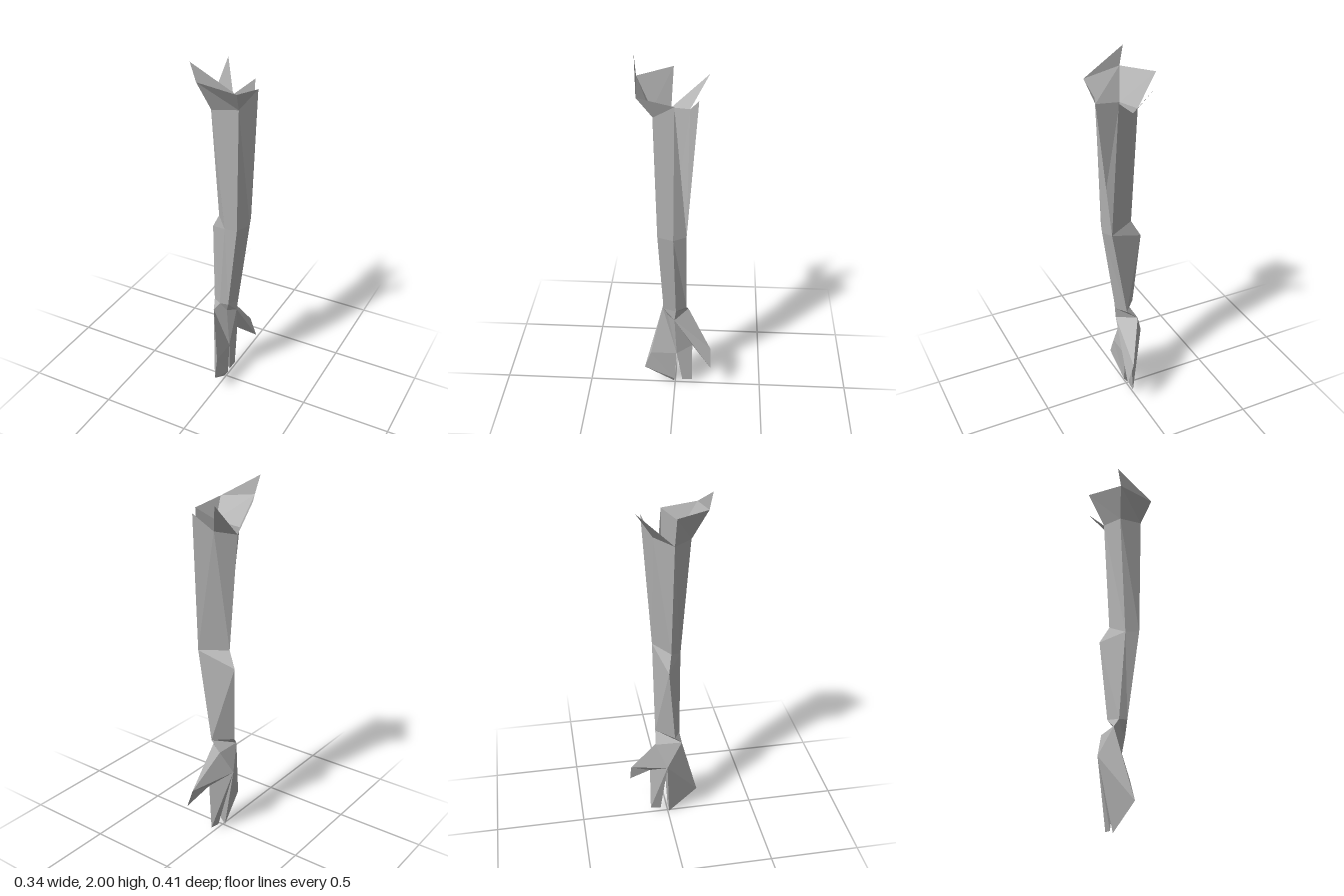
import * as THREE from 'three';

const skin = new THREE.MeshStandardMaterial({ color: 0xb2b2b2, side: THREE.DoubleSide, flatShading: true });
skin.name = 'plain grey';

// flat facets: each face is a fan of 3 or 4 corners
function facets(name, faces) {
  const pos = [];
  for (const f of faces)
    for (let i = 1; i < f.length - 1; i++) pos.push(...f[0], ...f[i], ...f[i + 1]);
  const geo = new THREE.BufferGeometry();
  geo.setAttribute('position', new THREE.Float32BufferAttribute(pos, 3));
  geo.computeVertexNormals();
  const mesh = new THREE.Mesh(geo, skin);
  mesh.name = name;
  return mesh;
}

// wall between an upper and a lower row of corners
function strip(up, lo) {
  const faces = [];
  for (let i = 0; i < up.length - 1; i++) {
    if (lo[i] !== lo[i + 1]) faces.push([up[i], lo[i], lo[i + 1]]);
    faces.push([up[i], lo[i + 1], up[i + 1]]);
  }
  return faces;
}

export function createModel() {
  const arm = new THREE.Group();
  arm.name = 'arm';

  // torn shoulder rim: raised points
  const spikeBack = [-0.076, 1.91, -0.167], spikeSide = [-0.17, 1.91, 0.016];
  const peak = [-0.082, 2, 0.205], rimFront = [-0.057, 1.9, 0.193];
  const rimLeft = [0.147, 1.87, 0.177], edgeLeft = [0.17, 1.838, -0.006];
  const edgeBack = [0.098, 1.84, -0.12];
  // upper arm top ring
  const s1 = [-0.075, 1.73, 0.023], s2 = [-0.02, 1.74, 0.115], s3 = [0.12, 1.76, 0.1];
  const s5 = [0, 1.755, -0.074];
  // elbow ring and elbow point
  const e1 = [-0.035, 1.1, 0.014], e2 = [0.03, 1.065, 0.075], e3 = [0.108, 1.08, 0.087];
  const e4 = [0.14, 1.08, 0.002], e5 = [0.114, 1.09, -0.066], elbow = [-0.083, 1.01, -0.006];
  // wrist ring and hand root
  const w1 = [-0.055, 0.565, 0.033], w2 = [-0.005, 0.57, 0.066], w3 = [0.045, 0.575, 0.062];
  const w4 = [0.071, 0.575, -0.008], w5 = [0.028, 0.575, -0.066];
  const h1 = [-0.04, 0.52, 0.074], h2 = [0.025, 0.515, 0.04], h3 = [0.066, 0.51, 0], h5 = [-0.035, 0.52, -0.074];
  // hand
  const knuckle = [-0.085, 0.385, -0.015];
  const palmFront = [0.015, 0.23, 0.14], palmMid = [0.015, 0.23, -0.01], web = [0.02, 0.3, -0.1];
  const tipFront = [0.02, 0.125, 0.177], tipLow = [-0.01, 0, 0.008], tipInner = [0.013, 0.035, 0.002];
  const backTipA = [0, 0.022, -0.042], backTipB = [0.005, 0.028, -0.1];
  const thumbA = [0.055, 0.305, -0.205], thumbB = [0.092, 0.195, -0.208];

  arm.add(facets('shoulderRim', [
    [spikeBack, s5, s1],
    [spikeSide, s1, s2, rimFront],
    [rimFront, s2, s3, rimLeft],
    [rimLeft, s3, edgeLeft],
    [peak, rimFront, rimLeft],
  ]));

  // slit stays open between edgeLeft and edgeBack
  arm.add(facets('upperArm', [
    ...strip([s1, s2, s3, edgeLeft], [e1, e2, e3, e4]),
    [edgeLeft, e4, e5],
    [edgeBack, e5, s5],
    ...strip([s5, s1], [e5, e1]),
  ]));

  arm.add(facets('forearm', [
    [e1, elbow, e2],
    [e5, elbow, e1],
    ...strip([elbow, e2, e3, e4], [w1, w2, w3, w4]),
    [e4, w4, w5, e5],
    [e5, w5, elbow],
    [elbow, w5, w1],
  ]));

  arm.add(facets('wrist', strip([w1, w2, w3, w4, w5, w1], [h1, h1, h2, h3, h5, h1])));

  arm.add(facets('palm', [
    [h1, palmFront, palmMid, h2],
    [h2, palmMid, h3],
    [h3, palmMid, web],
    [h1, h5, knuckle],
    [h1, knuckle, tipFront],
    [h1, tipFront, palmFront],
  ]));

  arm.add(facets('frontFingers', [
    [palmFront, tipFront, tipInner, palmMid],
    [tipFront, tipLow, tipInner],
    [knuckle, tipLow, tipFront],
    [knuckle, palmMid, tipInner, tipLow],
  ]));

  arm.add(facets('backFinger', [
    [palmMid, backTipA, backTipB, web],
    [knuckle, backTipA, palmMid],
    [knuckle, backTipB, backTipA],
    [knuckle, web, backTipB],
  ]));

  arm.add(facets('thumb', [
    [h3, thumbB, thumbA, h5],
    [h3, web, thumbB],
    [web, thumbA, thumbB],
    [h5, thumbA, knuckle],
    [knuckle, thumbA, web],
  ]));

  return arm;
}
